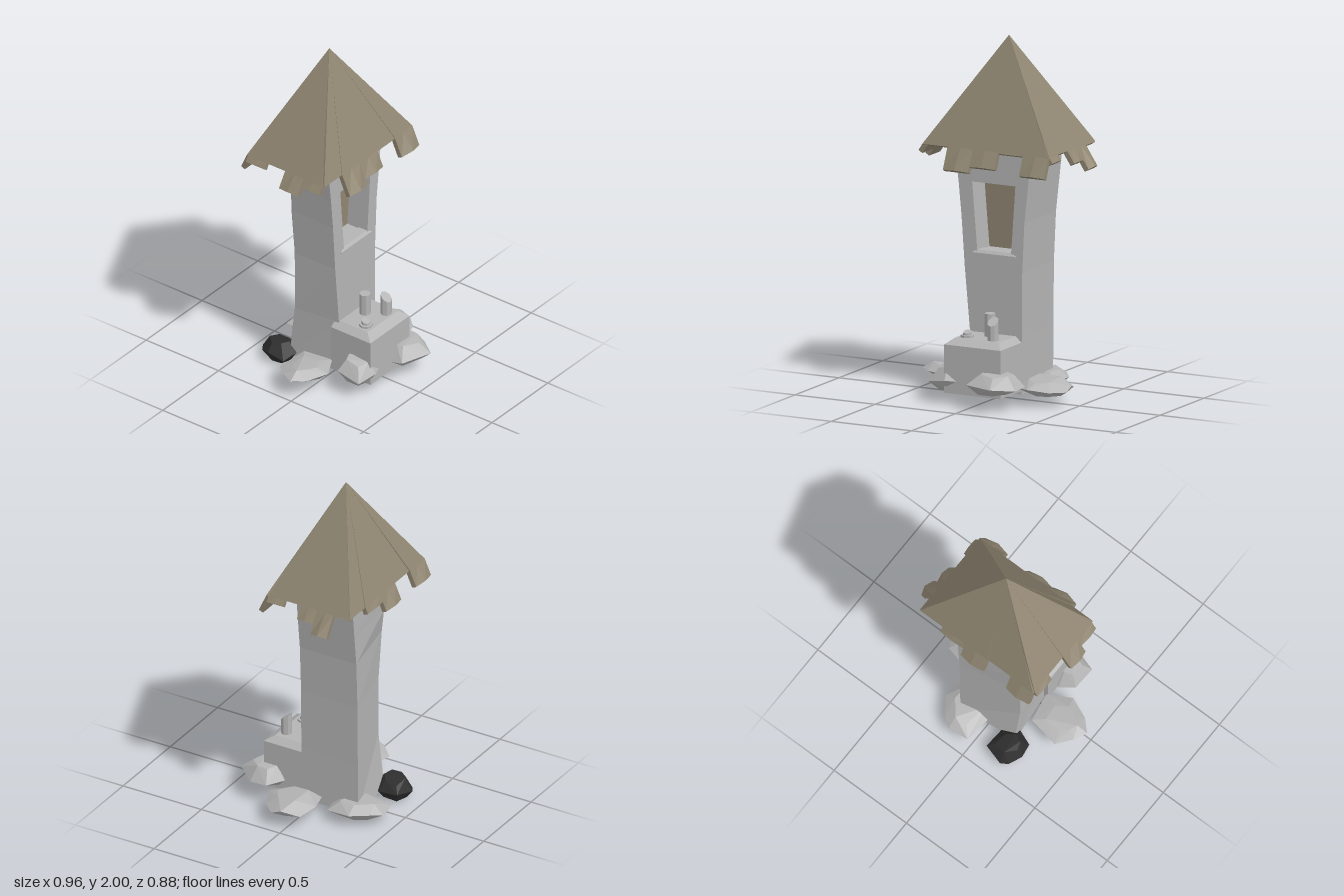
import * as THREE from 'three';
import { ConvexGeometry } from 'three/addons/geometries/ConvexGeometry.js';

const flat = (name, color) => new THREE.MeshStandardMaterial({ name, color, flatShading: true });

// Joins rings of [x, y, z] from bottom to top; skipSide leaves one side open
function loft(rings, skipSide = -1) {
  const pos = [];
  const tri = (a, b, c) => pos.push(...a, ...b, ...c);
  const n = rings[0].length;
  for (let r = 0; r < rings.length - 1; r++) {
    for (let i = 0; i < n; i++) {
      if (i === skipSide) continue;
      const j = (i + 1) % n, a = rings[r], b = rings[r + 1];
      tri(a[i], a[j], b[j]);
      tri(a[i], b[j], b[i]);
    }
  }
  const low = rings[0], top = rings[rings.length - 1];
  for (let i = 1; i < n - 1; i++) {
    tri(low[0], low[i + 1], low[i]);
    tri(top[0], top[i], top[i + 1]);
  }
  const g = new THREE.BufferGeometry();
  g.setAttribute('position', new THREE.Float32BufferAttribute(pos, 3));
  g.computeVertexNormals();
  return g;
}

const hull = pts => new ConvexGeometry(pts.map(p => new THREE.Vector3(...p)));

function seeded(seed) {
  return () => (seed = (seed * 16807) % 2147483647) / 2147483647;
}

// Faceted boulder: a ground outline of [x, z] shrunk towards its foot and crown
function rock(seed, y0, y1, outline) {
  const rnd = seeded(seed * 7919 + 13), pts = [], h = y1 - y0;
  const cx = outline.reduce((s, p) => s + p[0], 0) / outline.length;
  const cz = outline.reduce((s, p) => s + p[1], 0) / outline.length;
  for (const [level, scale] of [[0.02, 0.6], [0.45, 1], [0.9, 0.55]]) {
    for (const [x, z] of outline) {
      const s = scale === 1 ? 1 : scale * (0.85 + rnd() * 0.3);
      const y = THREE.MathUtils.clamp(level + (rnd() - 0.5) * 0.3, 0, 1);
      pts.push([cx + (x - cx) * s, y0 + y * h, cz + (z - cz) * s]);
    }
  }
  return hull(pts);
}

// Roof plank from the apex to the eave, running on into a bulging tab
function plank(W, D, k0, k1, drop, raise) {
  const len = Math.hypot(0.6, D), no = 0.6 / len, ny = D / len;
  const lift = drop > 0.03 ? raise : 0;
  const ring = (t, bulge) => {
    const w = W * Math.min(t, 1);
    const p = (k, h) => [k * w, 2 - 0.6 * t + ny * h, D * t + no * h];
    const mid = (k0 + k1) / 2, inner = lift - 0.028;
    return [p(k0, lift), p(mid, lift + bulge), p(k1, lift), p(k1, inner), p(k0, inner)];
  };
  const tip = [0, 2, 0], under = [0, 1.95, 0];
  return loft([ring(1 + drop, drop * 0.1), ring(1, 0), [tip, tip, tip, under, under]]);
}

export function createModel() {
  const model = new THREE.Group();
  const stone = flat('stone', 0xb4b4b4);
  const wood = flat('weathered wood', 0x8f8571);
  const coal = flat('dark stone', 0x2e2e2e);
  const add = (name, geo, mat, parent = model) => {
    const m = new THREE.Mesh(geo, mat);
    m.name = name;
    parent.add(m);
    return m;
  };

  // Tower: rows of [y, front left x, back left x, right x], then the worn back
  // corner as [x cut, z cut on the back face, z cut on the side face]
  const F = 0.06, B = -0.3;
  const rows = [
    [0.04, -0.15, -0.18, 0.17, 0.005, 0.04, 0.045], [0.36, -0.15, -0.185, 0.172, 0.005, 0.08, 0.085],
    [0.72, -0.183, -0.187, 0.175, 0.005, 0.08, 0.085], [1.0, -0.203, -0.203, 0.188, 0.005, 0.07, 0.08],
    [1.18, -0.22, -0.22, 0.208, 0.08, 0.02, 0.09], [1.36, -0.242, -0.242, 0.228, 0.005, 0.02, 0.025],
    [1.5, -0.25, -0.25, 0.235, 0.005, 0.02, 0.025]];
  add('towerBody', loft(rows.map(([y, fl, bl, r, cx, cb, cs]) =>
    [[fl, y, F], [r, y, F], [r, y, B], [bl + cx, y, B + cb], [bl, y, B + cs]]), 0), stone);

  // Front wall with the tapered window opening
  const wall = new THREE.Shape([
    ...rows.map(r => new THREE.Vector2(r[3], r[0])),
    ...rows.slice().reverse().map(r => new THREE.Vector2(r[1], r[0]))]);
  const opening = [[-0.105, 0.815], [0.105, 0.815], [0.132, 1.2], [-0.137, 1.2]];
  wall.holes.push(new THREE.Path(opening.map(p => new THREE.Vector2(...p))));
  add('frontWall', new THREE.ShapeGeometry(wall).translate(0, 0, F), stone);

  // Niche sides face inward, with a wooden panel at the back
  const back = -0.08, reveal = [];
  opening.forEach(([x, y], i) => {
    const [u, v] = opening[(i + 1) % 4];
    reveal.push(x, y, F, u, v, F, u, v, back, x, y, F, u, v, back, x, y, back);
  });
  const revealGeo = new THREE.BufferGeometry();
  revealGeo.setAttribute('position', new THREE.Float32BufferAttribute(reveal, 3));
  revealGeo.computeVertexNormals();
  add('windowReveal', revealGeo, stone);
  const panel = new THREE.Shape(opening.map(p => new THREE.Vector2(...p)));
  add('windowPanel', new THREE.ShapeGeometry(panel).translate(0, 0, back + 0.002), wood);
  const sill = [];
  for (const s of [-1, 1]) {
    sill.push([s * 0.137, 0.8, 0.055], [s * 0.137, 0.8, 0.068], [s * 0.137, 0.807, 0.068],
      [s * 0.106, 0.823, 0.055], [s * 0.104, 0.823, 0.0], [s * 0.104, 0.8, 0.0]);
  }
  add('windowSill', hull(sill), stone);

  // Offering ledge with a bevelled top
  const slab = (y, x0, x1, z) => [[x0, y, z], [x1, y, z], [x1, y, 0.03], [x0, y, 0.03]];
  add('ledge', loft([slab(0.06, -0.18, 0.17, 0.3), slab(0.33, -0.18, 0.17, 0.3),
    slab(0.363, -0.14, 0.133, 0.25)]), stone);

  // Candles: one flat, one with a slanted top, one melted to a stub
  const candle = (name, x, z, r, y0, y1, slant = 0) => {
    const g = new THREE.CylinderGeometry(r, r, y1 - y0, 8).translate(0, (y0 + y1) / 2, 0);
    const p = g.attributes.position;
    for (let i = 0; i < p.count; i++) {
      if (p.getY(i) > y1 - 0.001) p.setY(i, y1 - slant * (p.getZ(i) / r + 1) / 2);
    }
    add(name, g.translate(x, 0, z), stone);
  };
  candle('tallCandle', 0.007, 0.12, 0.031, 0.34, 0.49);
  candle('slantedCandle', 0.076, 0.212, 0.031, 0.34, 0.49, 0.045);
  candle('stubBase', -0.09, 0.2, 0.038, 0.35, 0.375);
  candle('stubCandle', -0.09, 0.2, 0.024, 0.36, 0.4, 0.015);

  // Pyramid roof: planks on each side, given by their tab lengths past the eave
  const roof = new THREE.Group();
  roof.name = 'roof';
  roof.position.set(-0.005, 0, -0.118);
  model.add(roof);
  const sides = [
    ['front', 0, 0.392, 0.268, 0.003, [0, 0.2, 0.15, 0.01, 0.18]],
    ['left', Math.PI / 2, 0.258, 0.392, 0, [0.05, 0, 0.11, 0.19, 0.01]],
    ['back', Math.PI, 0.392, 0.262, 0.005, [0, 0.06, 0.15, 0, 0.15]],
    ['right', -Math.PI / 2, 0.256, 0.392, 0.005, [0.05, 0, 0.14, 0.07]]];
  for (const [name, turn, W, D, raise, drops] of sides) {
    const side = new THREE.Group();
    side.name = name + 'RoofSide';
    side.rotation.y = turn;
    roof.add(side);
    const step = 2 / drops.length;
    drops.forEach((d, i) =>
      add('roofPlank', plank(W, D, i * step - 1, (i + 1) * step - 1, d, raise), wood, side));
  }

  // Boulders around the foot
  const boulders = [
    [0.08, 0.2, [[0, 0.3], [0, 0.38], [0.18, 0.44], [0.275, 0.325], [0.28, 0.22], [0.18, 0.165], [0.05, 0.17]]],
    [0.065, 0.225, [[-0.28, 0.15], [-0.28, 0.295], [-0.165, 0.325], [-0.08, 0.29], [-0.08, 0.13], [-0.2, 0.1]]],
    [0.07, 0.15, [[-0.485, -0.015], [-0.45, -0.09], [-0.38, -0.17], [-0.2, -0.14], [-0.17, 0.03], [-0.3, 0.1], [-0.42, 0.05]]],
    [0.055, 0.15, [[0.42, -0.08], [0.46, 0.02], [0.46, 0.08], [0.39, 0.155], [0.28, 0.2], [0.15, 0.1], [0.17, -0.07], [0.3, -0.11]]],
    [0.03, 0.12, [[0.02, -0.43], [0.14, -0.445], [0.2, -0.4], [0.27, -0.3], [0.25, -0.15], [0.1, -0.12], [-0.01, -0.2]]]];
  boulders.forEach((b, i) => add('boulder', rock(i + 1, ...b), stone));
  add('darkBoulder', rock(9, 0, 0.125, [[-0.28, -0.33], [-0.24, -0.4], [-0.2, -0.425],
    [-0.085, -0.395], [-0.09, -0.27], [-0.17, -0.21], [-0.26, -0.24]]), coal);

  return model;
}
